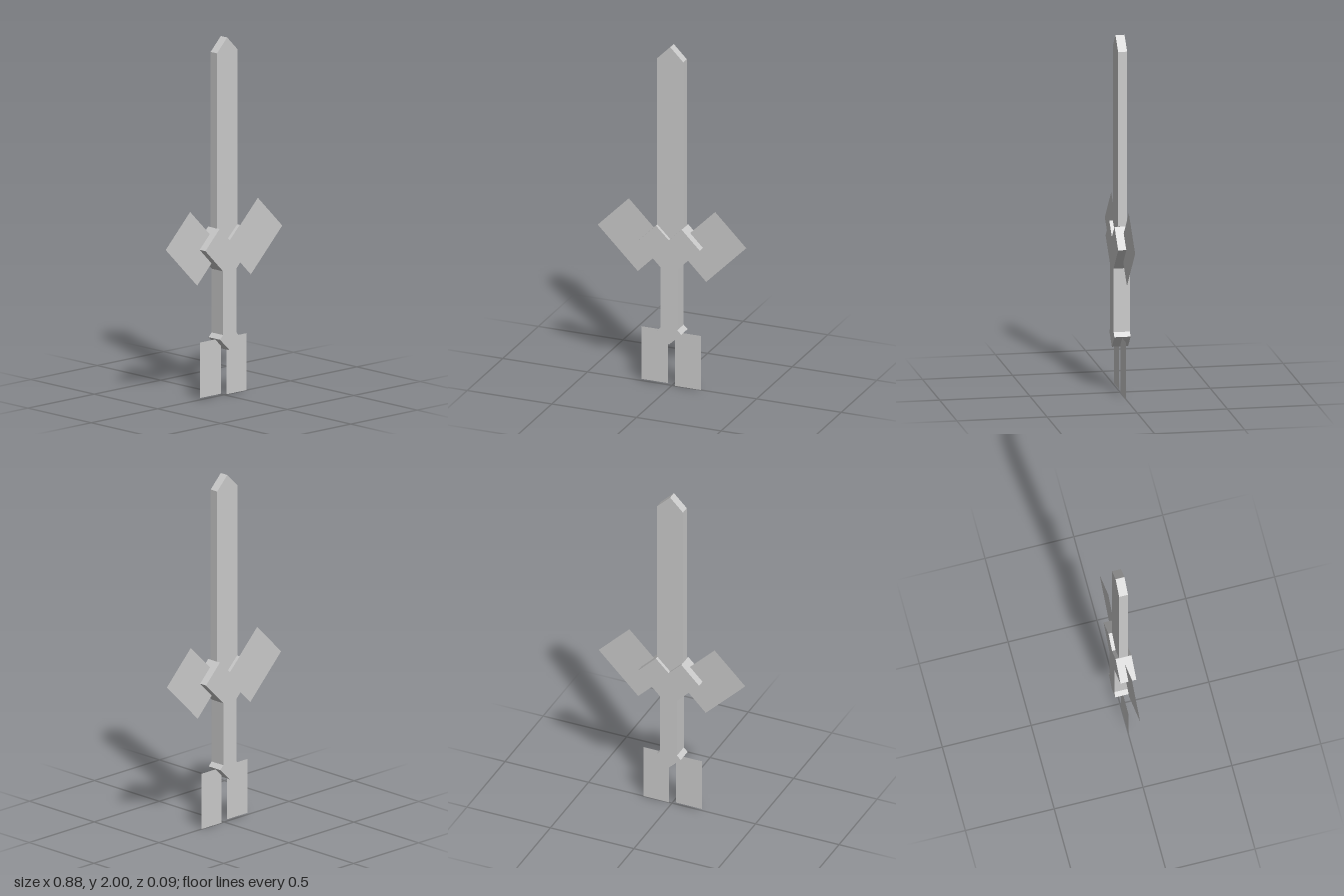
import * as THREE from 'three';

const grey = new THREE.MeshStandardMaterial({ color: 0xcccccc });
grey.name = 'plain grey';
const greySheet = new THREE.MeshStandardMaterial({ color: 0xcccccc, side: THREE.DoubleSide });
greySheet.name = 'plain grey sheet';

const outline = (points) => new THREE.Shape(points.map(([x, y]) => new THREE.Vector2(x, y)));

// Mirrors a right-half outline (listed bottom to top) across x = 0
const mirrored = (half) => [
  ...half,
  ...half.filter(([x]) => x > 0).reverse().map(([x, y]) => [-x, y]),
];

// Solid slab of the given depth, centred on z = 0
function slab(name, half, depth) {
  const geometry = new THREE.ExtrudeGeometry(outline(mirrored(half)), { depth, bevelEnabled: false });
  geometry.translate(0, 0, -depth / 2);
  const mesh = new THREE.Mesh(geometry, grey);
  mesh.name = name;
  return mesh;
}

// Paper-thin sheet lying in the z = 0 plane
function sheet(name, points) {
  const mesh = new THREE.Mesh(new THREE.ShapeGeometry(outline(points)), greySheet);
  mesh.name = name;
  return mesh;
}

export function createModel() {
  const model = new THREE.Group();
  model.name = 'sword';

  // Blade with a pointed tip, seated in the notch of the guard
  model.add(slab('blade', [[0, 0.871], [0.077, 0.945], [0.077, 1.923], [0, 2]], 0.05));

  // Pommel, grip and notched guard share one thicker outline
  model.add(slab('hilt', [
    [0, 0.256], [0.073, 0.326], [0.05, 0.349],
    [0.05, 0.705], [0.183, 0.838], [0.076, 0.945], [0, 0.871],
  ], 0.09));

  // Slanted wing sheets either side of the guard
  for (const [side, s] of [['left', 1], ['right', -1]]) {
    model.add(sheet(side + 'Wing', [
      [0.018 * s, 0.825], [0.202 * s, 0.641], [0.439 * s, 0.877], [0.255 * s, 1.061],
    ]));
  }

  // Hanging tassel sheets below the pommel
  const tassel = (name, x0, x1, y0, y1) =>
    model.add(sheet(name, [[x0, y0], [x1, y0], [x1, y1], [x0, y1]]));
  tassel('leftTassel', 0.018, 0.171, 0, 0.318);
  tassel('rightTassel', -0.179, -0.023, 0.01, 0.32);

  return model;
}
